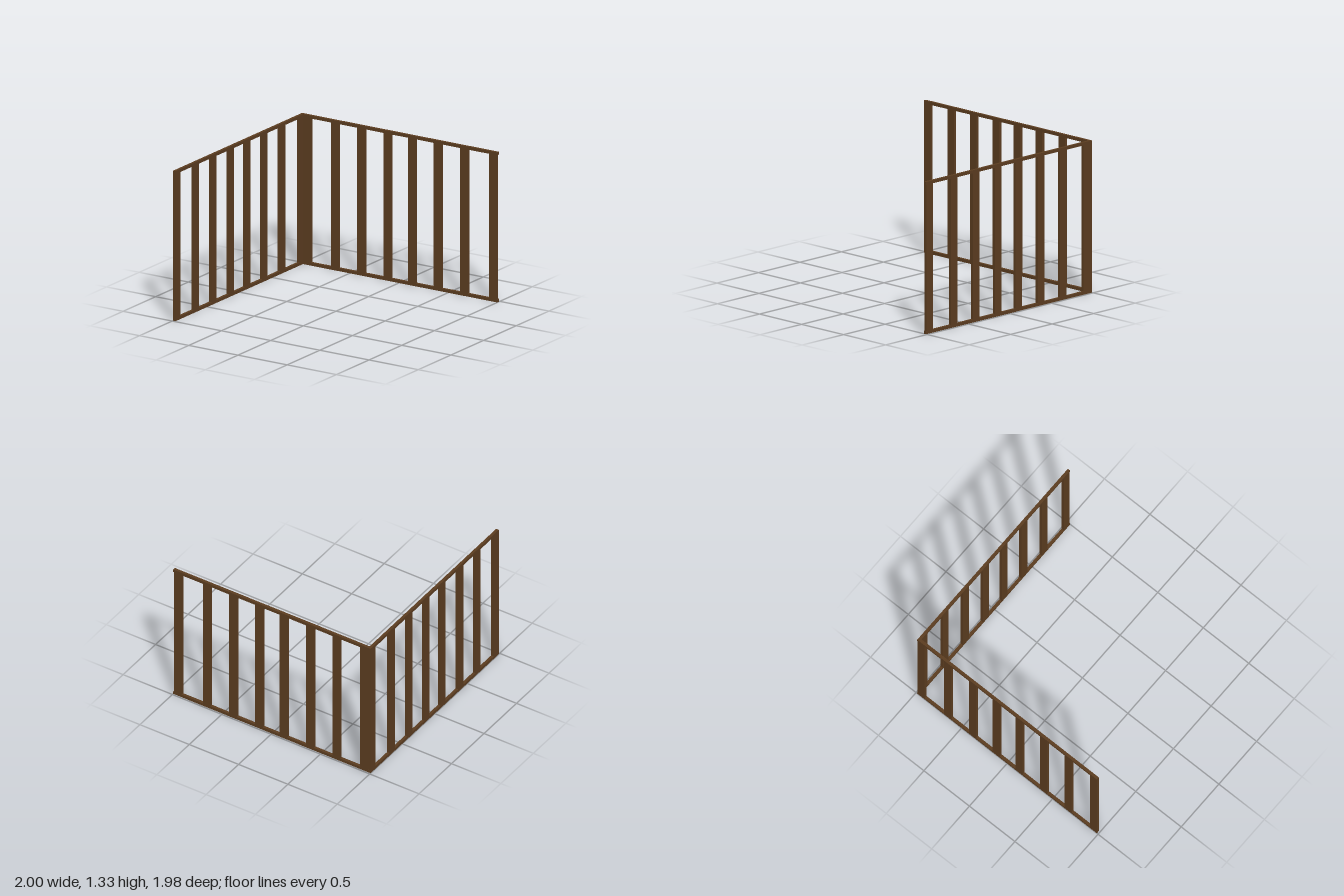
import * as THREE from 'three';

const HEIGHT = 1.33;   // overall frame height
const PLATE = 0.026;   // thickness of the timber
const STUD = 0.078;    // face width of a stud

const wood = new THREE.MeshStandardMaterial({ color: 0x5c3d20 });

function beam(name, w, h, d, x, y, z) {
  const mesh = new THREE.Mesh(new THREE.BoxGeometry(w, h, d), wood);
  mesh.name = name;
  mesh.position.set(x, y, z);
  return mesh;
}

// A stud wall running along its local x axis from start to end
function studWall(name, start, end, studCentres) {
  const wall = new THREE.Group();
  wall.name = name;
  const mid = (start + end) / 2;
  wall.add(beam('bottomPlate', end - start, PLATE, PLATE, mid, PLATE / 2, 0));
  wall.add(beam('topPlate', end - start, PLATE, PLATE, mid, HEIGHT - PLATE / 2, 0));
  studCentres.forEach((c, i) => {
    wall.add(beam(`stud${i + 1}`, STUD, HEIGHT - 2 * PLATE, PLATE, c, HEIGHT / 2, 0));
  });
  return wall;
}

export function createModel() {
  const model = new THREE.Group();
  model.name = 'cornerStudFrame';

  // Back wall, butting against the side wall
  const back = studWall('backWall', -0.974, 1,
    [-0.935, -0.652, -0.386, -0.118, 0.131, 0.393, 0.661, 0.954]);
  back.position.z = -0.975;
  model.add(back);

  // Side wall, turned so its local x runs towards the back
  const side = studWall('sideWall', -0.987, 0.988,
    [-0.948, -0.669, -0.401, -0.131, 0.119, 0.381, 0.653, 0.946]);
  side.rotation.y = Math.PI / 2;
  side.position.x = -0.987;
  model.add(side);

  return model;
}
